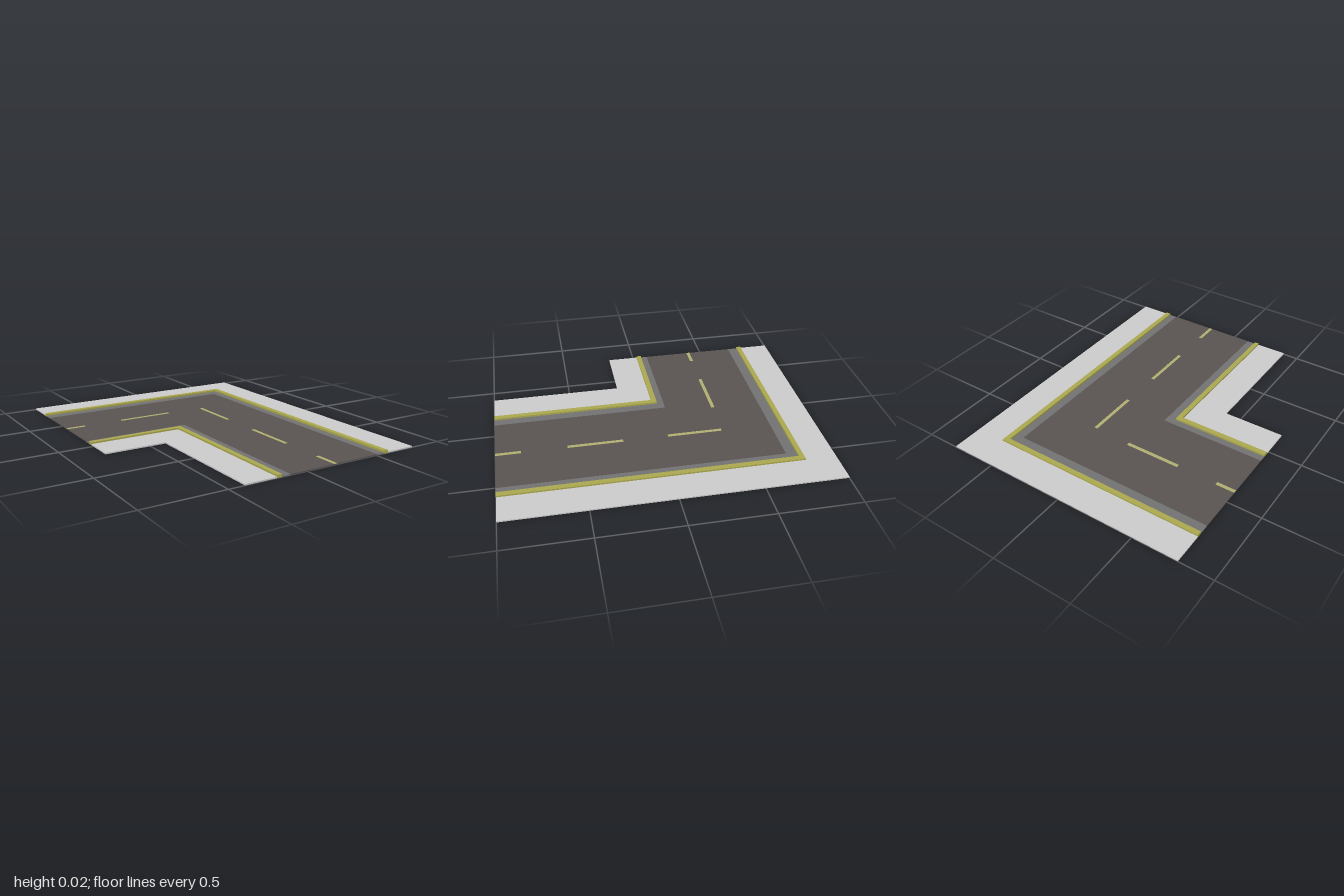
import * as THREE from 'three';

const LEFT_END = -0.787, FRONT_END = 1;
const mat = (color) => new THREE.MeshStandardMaterial({ color, flatShading: true });

const concrete = mat(0xcccccc);
const asphalt = mat(0x595351);
const gutterGrey = mat(0x727272);
const curbYellow = mat(0xaaa84e);
const lineYellow = mat(0xb0ae70);

// L-shaped slab between two corner points [x, z], running to both road ends
function bend(name, [ax, az], [bx, bz], height, material) {
  const outline = [
    [LEFT_END, az], [ax, az], [ax, FRONT_END],
    [bx, FRONT_END], [bx, bz], [LEFT_END, bz],
  ].map(([x, z]) => new THREE.Vector2(x, -z));
  const geo = new THREE.ExtrudeGeometry(new THREE.Shape(outline), { depth: height, bevelEnabled: false });
  geo.rotateX(-Math.PI / 2);
  const mesh = new THREE.Mesh(geo, material);
  mesh.name = name;
  return mesh;
}

// Painted dash lying just above the road
function dash(x0, x1, z0, z1) {
  const mesh = new THREE.Mesh(new THREE.BoxGeometry(x1 - x0, 0.002, z1 - z0), lineYellow);
  mesh.position.set((x0 + x1) / 2, 0.0065, (z0 + z1) / 2);
  mesh.name = 'laneDash';
  return mesh;
}

export function createModel() {
  const model = new THREE.Group();
  model.name = 'roadCorner';

  // Corner points of each strip boundary, from outside of the bend to inside
  const corners = [
    [0.787, -1], [0.59, -0.808], [0.557, -0.777], [0.507, -0.715],
    [-0.112, -0.1], [-0.168, -0.056], [-0.2, -0.024], [-0.4, 0.175],
  ];
  const strips = [
    ['outerSidewalk', 0.008, concrete],
    ['outerCurb', 0.018, curbYellow],
    ['outerGutter', 0.006, gutterGrey],
    ['roadSurface', 0.006, asphalt],
    ['innerGutter', 0.006, gutterGrey],
    ['innerCurb', 0.018, curbYellow],
    ['innerSidewalk', 0.008, concrete],
  ];
  strips.forEach(([name, height, material], i) =>
    model.add(bend(name, corners[i], corners[i + 1], height, material)));

  // Centre line dashes along each arm
  const markings = new THREE.Group();
  markings.name = 'laneMarkings';
  for (const [a, b] of [[LEFT_END, -0.667], [-0.41, -0.055]]) markings.add(dash(a, b, -0.42, -0.398));
  for (const [a, b] of [[-0.397, -0.055], [0.225, 0.567], [0.847, FRONT_END]]) markings.add(dash(0.187, 0.209, a, b));
  model.add(markings);

  return model;
}
